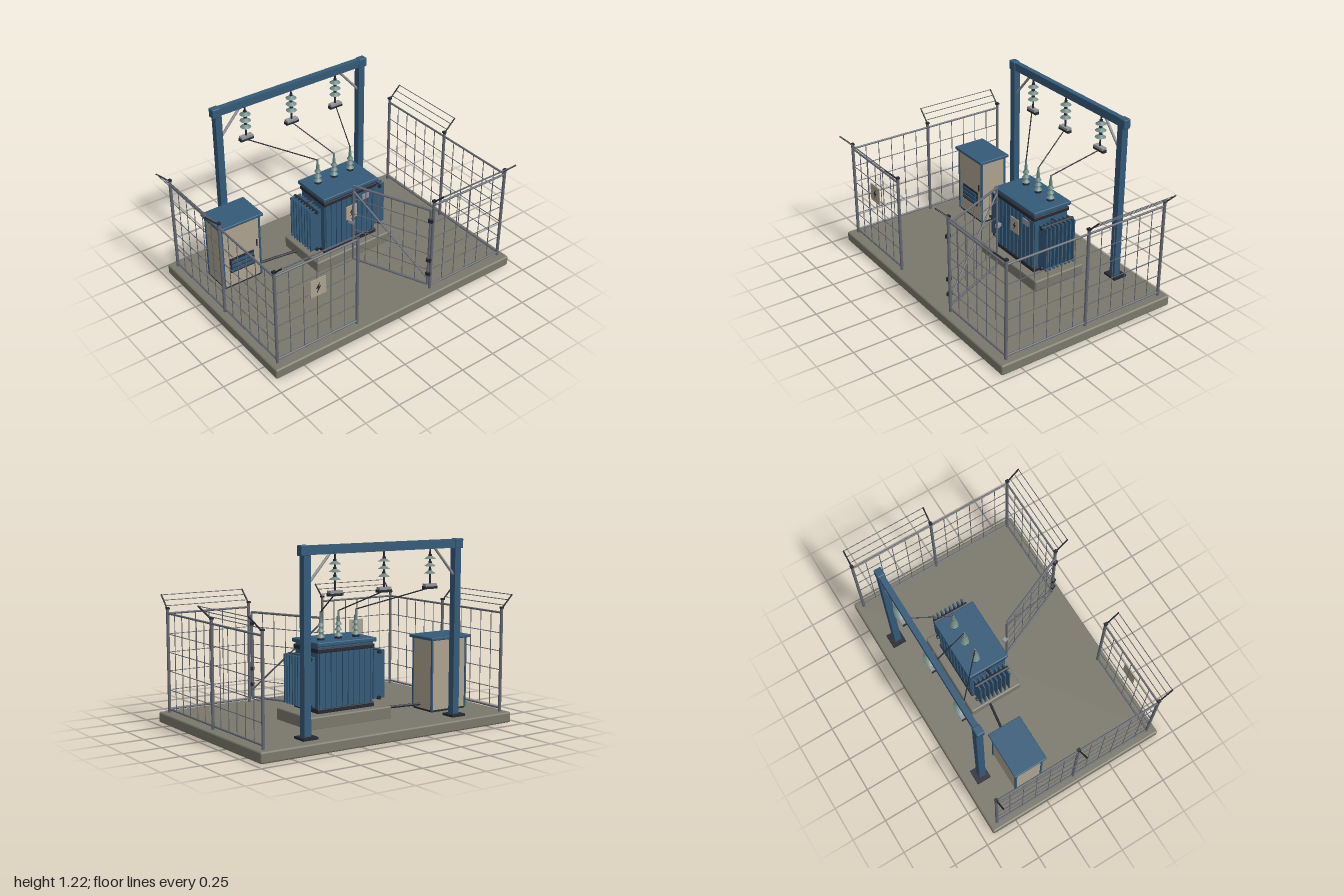
import * as THREE from 'three';
import { RoundedBoxGeometry } from 'three/addons/geometries/RoundedBoxGeometry.js';

const mat = (name, color) => {
  const m = new THREE.MeshStandardMaterial({ color });
  m.name = name;
  return m;
};
const concrete = mat('concrete', 0x7a786b);
const blue = mat('bluePaint', 0x345a78);
const beige = mat('beigePaint', 0xaca28f);
const steel = mat('steel', 0x666a73);
const dark = mat('darkMetal', 0x262931);
const glass = mat('greenGlaze', 0x6f8a86);
const pale = mat('paleMetal', 0x93959a);

const V = (x, y, z) => new THREE.Vector3(x, y, z);

function add(parent, name, geometry, material) {
  const m = new THREE.Mesh(geometry, material);
  m.name = name;
  parent.add(m);
  return m;
}
function group(parent, name) {
  const g = new THREE.Group();
  g.name = name;
  parent.add(g);
  return g;
}
// Box given by its limits on each axis
function box(parent, name, material, x0, x1, y0, y1, z0, z1, round = 0) {
  const s = [x1 - x0, y1 - y0, z1 - z0];
  const g = round ? new RoundedBoxGeometry(...s, 2, round) : new THREE.BoxGeometry(...s);
  return add(parent, name, g.translate((x0 + x1) / 2, (y0 + y1) / 2, (z0 + z1) / 2), material);
}
// Round bar between two points
function bar(parent, name, material, a, b, r, sides = 8) {
  const d = b.clone().sub(a);
  const m = add(parent, name, new THREE.CylinderGeometry(r, r, d.length(), sides), material);
  m.position.copy(a).add(b).multiplyScalar(0.5);
  m.quaternion.setFromUnitVectors(V(0, 1, 0), d.normalize());
  return m;
}
// Warning plate with a bolt mark, facing +z
function warningSign(parent, x, y, z, w, h) {
  const g = group(parent, 'warningSign');
  g.position.set(x, y, z);
  box(g, 'signPlate', beige, -w / 2, w / 2, -h / 2, h / 2, 0, 0.006);
  const pts = [[0.1, 0.3], [-0.16, -0.04], [-0.02, -0.04], [-0.1, -0.3], [0.16, 0.06], [0.02, 0.06]];
  const s = new THREE.Shape(pts.map(([u, v]) => new THREE.Vector2(u * w, v * h)));
  add(g, 'boltMark', new THREE.ExtrudeGeometry(s, { depth: 0.002, bevelEnabled: false }).translate(0, 0, 0.006), dark);
}

const GROUND = 0.077, WIRE = 0.0028;
const LEVELS = [0.23, 0.355, 0.48, 0.60];

// Rails and wire mesh between two posts; out is the lean direction of the barbed arms
function fencePanel(parent, a, b, out) {
  const g = group(parent, 'fencePanel');
  const at = (t, y) => V(a[0] + (b[0] - a[0]) * t, y, a[1] + (b[1] - a[1]) * t);
  for (const y of [0.10, 0.735]) bar(g, 'rail', steel, at(0, y), at(1, y), 0.007);
  for (const y of LEVELS) bar(g, 'meshWire', steel, at(0, y), at(1, y), WIRE, 5);
  for (let i = 1; i < 6; i++) bar(g, 'meshWire', steel, at(i / 6, 0.10), at(i / 6, 0.735), WIRE, 5);
  if (!out) return;
  const lean = (t, k) => at(t, 0.76 + 0.09 * k).add(V(out[0] * 0.09 * k, 0, out[1] * 0.09 * k));
  for (const t of [0, 1]) bar(g, 'barbArm', dark, lean(t, 0), lean(t, 1), 0.005, 6);
  for (const k of [0.25, 0.62, 0.98]) bar(g, 'barbWire', steel, lean(0, k), lean(1, k), WIRE, 5);
}

function buildFence(root) {
  const fence = group(root, 'fence');
  for (const s of [-1, 1]) {
    for (const [x, z] of [[0.91, 0.58], [0.91, -0.02], [0.91, -0.62], [0.302, 0.58]]) {
      bar(fence, 'fencePost', steel, V(s * x, GROUND, z), V(s * x, 0.765, z), 0.0105, 10);
      box(fence, 'postCap', dark, s * x - 0.011, s * x + 0.011, 0.762, 0.774, z - 0.011, z + 0.011);
    }
    fencePanel(fence, [s * 0.91, 0.58], [s * 0.302, 0.58], [0, 1]);
    fencePanel(fence, [s * 0.91, 0.58], [s * 0.91, -0.02], null);
    fencePanel(fence, [s * 0.91, -0.02], [s * 0.91, -0.62], [s, 0]);
  }
  warningSign(fence, -0.605, 0.52, 0.585, 0.115, 0.125);

  // Gate standing open, built along local x from its hinge
  const gate = group(fence, 'gate');
  gate.position.set(0.285, 0, 0.572);
  gate.rotation.y = Math.atan2(0.919, -0.394);
  const L = 0.56, y0 = 0.112, y1 = 0.70;
  for (const x of [0, L]) bar(gate, 'gateStile', steel, V(x, y0, 0), V(x, y1, 0), 0.008);
  for (const y of [y0, y1]) bar(gate, 'gateRail', steel, V(0, y, 0), V(L, y, 0), 0.008);
  bar(gate, 'gateBrace', steel, V(0, 0.16, 0), V(L, 0.66, 0), 0.006);
  for (let i = 1; i < 6; i++) bar(gate, 'gateWire', steel, V(L * i / 6, y0, 0), V(L * i / 6, y1, 0), WIRE, 5);
  for (const y of LEVELS) bar(gate, 'gateWire', steel, V(0, y, 0), V(L, y, 0), WIRE, 5);
  box(gate, 'latch', pale, L - 0.005, L + 0.035, 0.40, 0.423, -0.012, 0.012);
  for (const y of [0.2, 0.31, 0.62]) box(gate, 'hinge', dark, -0.02, 0.012, y - 0.012, y + 0.012, -0.012, 0.012);
}

// Stack of cone-shaped sheds around a core
function shedStack(parent, x, z, y0, y1, sheds) {
  bar(parent, 'insulatorCore', glass, V(x, y0, z), V(x, y1, z), 0.011, 12);
  for (const [y, r] of sheds)
    add(parent, 'shed', new THREE.CylinderGeometry(0.012, r, 0.02, 16).translate(x, y, z), glass);
}

const BUSHINGS = [-0.015, 0.12, 0.255], BZ = -0.232;
const HANGERS = [-0.365, -0.003, 0.36], HZ = -0.543;

function buildTransformer(root) {
  const t = group(root, 'transformer');
  box(t, 'plinth', concrete, -0.195, 0.435, 0.07, 0.155, -0.38, 0.01, 0.01);
  box(t, 'tank', blue, -0.09, 0.33, 0.155, 0.58, -0.315, -0.055);
  box(t, 'lid', blue, -0.107, 0.345, 0.578, 0.605, -0.335, -0.037, 0.006);
  for (const y of [0.157, 0.537]) box(t, 'band', dark, -0.098, 0.338, y, y + 0.028, -0.325, -0.043, 0.005);

  // Corrugation ribs on front and back
  for (let i = 0; i < 10; i++) {
    const x = -0.075 + i * 0.0433;
    box(t, 'rib', blue, x - 0.007, x + 0.007, 0.185, 0.537, -0.322, -0.047);
  }
  // Cooling fins with header pipes on both ends
  for (const s of [-1, 1]) {
    const rad = group(t, 'radiator');
    rad.position.x = 0.12;
    const [a, b] = s < 0 ? [-0.312, -0.225] : [0.225, 0.31];
    for (let i = 0; i < 8; i++) {
      const z = -0.3 + i * 0.0315;
      box(rad, 'fin', blue, a, b, 0.2, 0.515, z - 0.005, z + 0.005);
    }
    for (const y of [0.205, 0.505])
      bar(rad, 'headerPipe', dark, V(s * 0.265, y, -0.318), V(s * 0.265, y, -0.063), 0.013, 10);
    for (const y of [0.205, 0.505])
      bar(rad, 'feedPipe', dark, V(s * 0.2, y, -0.19), V(s * 0.265, y, -0.19), 0.011, 10);
  }
  // Bushings on the lid
  for (const x of BUSHINGS) {
    const b = group(t, 'bushing');
    bar(b, 'collar', dark, V(x, 0.603, BZ), V(x, 0.615, BZ), 0.024, 14);
    shedStack(b, x, BZ, 0.605, 0.745, [[0.633, 0.028], [0.668, 0.025], [0.703, 0.022]]);
    bar(b, 'terminal', glass, V(x, 0.74, BZ), V(x, 0.785, BZ), 0.007, 10);
  }
  warningSign(t, 0.125, 0.415, -0.046, 0.09, 0.105);
  box(t, 'ratingPlate', pale, 0.215, 0.272, 0.475, 0.515, -0.047, -0.04);
}

function buildGantry(root) {
  const g = group(root, 'gantry');
  for (const s of [-1, 1]) {
    const x = s * 0.573 - 0.003;
    box(g, 'column', blue, x - 0.024, x + 0.024, 0.09, 1.2, -0.566, -0.519);
    box(g, 'basePlate', dark, x - 0.053, x + 0.053, GROUND, 0.092, -0.598, -0.498);
    box(g, 'beamEnd', blue, x - 0.03 + s * 0.012, x + 0.03 + s * 0.012, 1.165, 1.229, -0.568, -0.517, 0.006);
    bar(g, 'kneeBrace', pale, V(x - s * 0.02, 1.0, HZ), V(x - s * 0.175, 1.175, HZ), 0.009);
  }
  box(g, 'beam', blue, -0.61, 0.604, 1.17, 1.225, -0.561, -0.524);

  // Hanging insulator strings, clamps and the conductors to the bushings
  HANGERS.forEach((x, i) => {
    const h = group(g, 'hangingInsulator');
    bar(h, 'hangerRod', dark, V(x, 0.94, HZ), V(x, 1.175, HZ), 0.006);
    for (const y of [1.117, 1.071, 1.024]) {
      add(h, 'disc', new THREE.CylinderGeometry(0.012, 0.037, 0.018, 18).translate(x, y, HZ), glass);
      bar(h, 'discCap', dark, V(x, y, HZ), V(x, y + 0.02, HZ), 0.011, 10);
    }
    box(h, 'clamp', dark, x - 0.05, x + 0.05, 0.918, 0.936, HZ - 0.016, HZ + 0.016);
    box(h, 'clampTop', pale, x - 0.044, x + 0.044, 0.934, 0.951, HZ - 0.018, HZ + 0.018);
    bar(h, 'conductor', dark, V(x, 0.922, HZ + 0.01), V(BUSHINGS[i], 0.782, BZ), 0.004, 6);
  });
}

function buildCabinet(root) {
  const c = group(root, 'cabinet');
  box(c, 'cabinetFoot', dark, -0.79, -0.51, GROUND, 0.095, -0.4, -0.21);
  box(c, 'cabinetBody', beige, -0.792, -0.508, 0.09, 0.56, -0.402, -0.208);
  for (const x of [-0.792, -0.508]) for (const z of [-0.402, -0.208])
    box(c, 'cornerTrim', blue, x - 0.006, x + 0.006, 0.085, 0.56, z - 0.006, z + 0.006);
  box(c, 'cabinetRoof', blue, -0.815, -0.485, 0.557, 0.578, -0.425, -0.185, 0.005);
  // Louvred vent
  box(c, 'ventFrame', dark, -0.742, -0.56, 0.195, 0.305, -0.21, -0.2);
  for (let i = 0; i < 3; i++) {
    const y = 0.209 + i * 0.031;
    box(c, 'ventSlat', blue, -0.735, -0.567, y, y + 0.02, -0.203, -0.194);
  }
  bar(c, 'doorHandle', dark, V(-0.535, 0.33, -0.2), V(-0.535, 0.38, -0.2), 0.005);
  bar(c, 'powerCable', dark, V(-0.51, 0.115, -0.28), V(-0.18, 0.115, -0.235), 0.009, 10);
}

export function createModel() {
  const root = new THREE.Group();
  root.name = 'substation';
  box(root, 'slab', concrete, -0.96, 0.96, 0.006, GROUND, -0.677, 0.643, 0.012);
  buildFence(root);
  buildTransformer(root);
  buildGantry(root);
  buildCabinet(root);
  return root;
}
